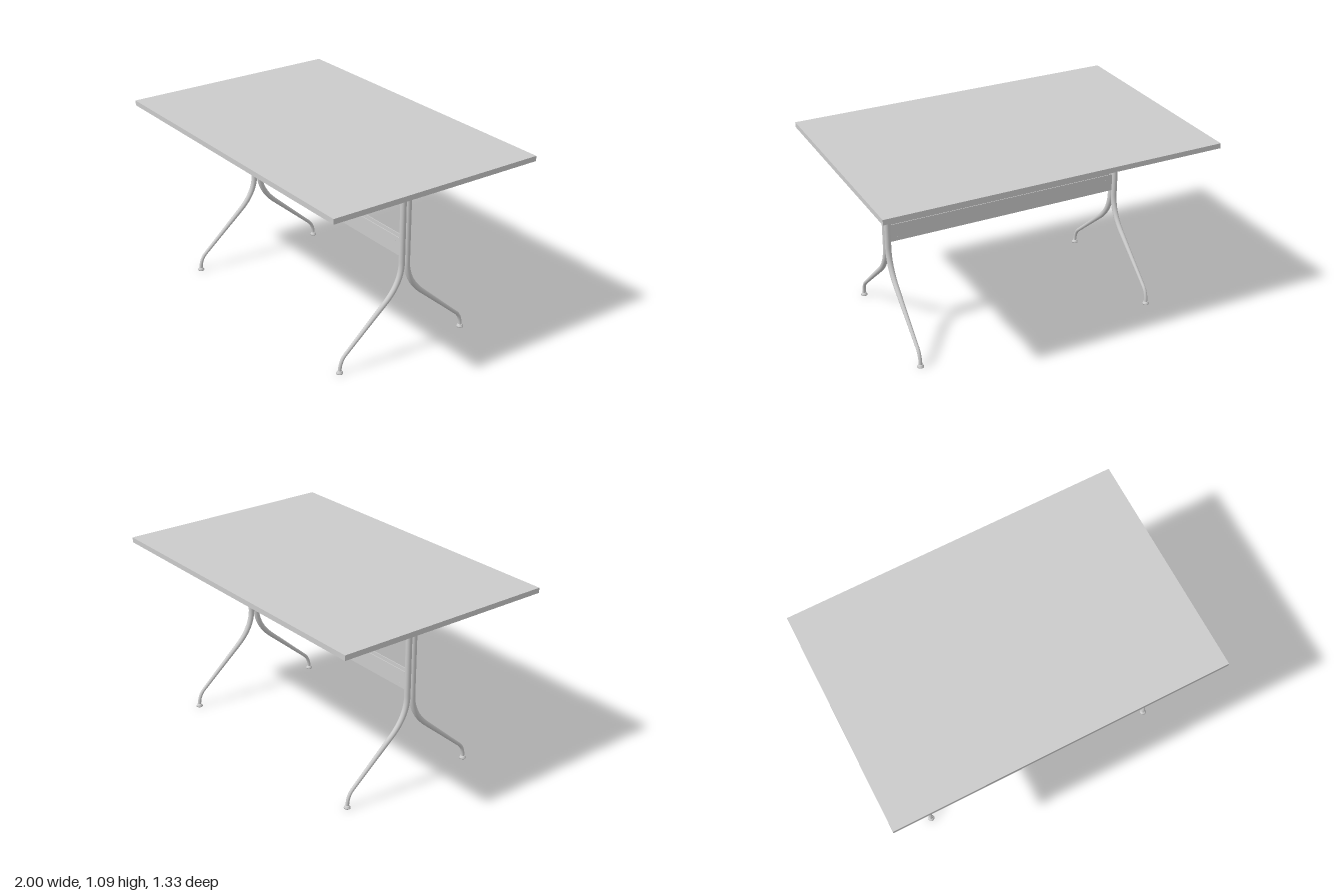
import * as THREE from 'three';

const material = new THREE.MeshStandardMaterial({ color: 0xcccccc });

function add(parent, geometry, name, x = 0, y = 0, z = 0) {
  const mesh = new THREE.Mesh(geometry, material);
  mesh.name = name;
  mesh.position.set(x, y, z);
  parent.add(mesh);
  return mesh;
}

// Splayed leg centreline: straight post, sweep outwards, slanted run, short vertical ankle
function legPath() {
  const p = (z, y) => new THREE.Vector3(0, y, z);
  const path = new THREE.CurvePath();
  path.add(new THREE.LineCurve3(p(0.0175, 1.062), p(0.0175, 0.55)));
  path.add(new THREE.QuadraticBezierCurve3(p(0.0175, 0.55), p(0.0175, 0.429), p(0.125, 0.335)));
  path.add(new THREE.LineCurve3(p(0.125, 0.335), p(0.39, 0.105)));
  path.add(new THREE.QuadraticBezierCurve3(p(0.39, 0.105), p(0.427, 0.073), p(0.428, 0.012)));
  return path;
}

// Tube whose radius shrinks along the splayed part
function taperedTube(path, segments, sides, radiusAt) {
  const geometry = new THREE.TubeGeometry(path, segments, 1, sides, false);
  const pos = geometry.attributes.position;
  const v = new THREE.Vector3();
  for (let i = 0; i <= segments; i++) {
    const centre = path.getPointAt(i / segments);
    const r = radiusAt(i / segments);
    for (let j = 0; j <= sides; j++) {
      const k = i * (sides + 1) + j;
      v.fromBufferAttribute(pos, k).sub(centre).multiplyScalar(r).add(centre);
      pos.setXYZ(k, v.x, v.y, v.z);
    }
  }
  return geometry;
}

export function createModel() {
  const model = new THREE.Group();
  model.name = 'table';

  // Table top
  add(model, new THREE.BoxGeometry(2, 0.03, 1.334), 'tableTop', 0, 1.079, 0);

  // Legs: a back-to-back pair at each end
  const tube = taperedTube(legPath(), 96, 24, (u) => 0.0175 - 0.0075 * THREE.MathUtils.smoothstep(u, 0.36, 1));
  const cap = new THREE.CircleGeometry(0.0175, 24).rotateX(-Math.PI / 2);
  const footProfile = [[0, 0], [0.019, 0], [0.019, 0.006], [0.013, 0.010], [0.013, 0.017], [0, 0.017]]
    .map(([r, y]) => new THREE.Vector2(r, y));
  const foot = new THREE.LatheGeometry(footProfile, 24);
  for (const x of [-0.732, 0.732]) {
    for (const turn of [0, Math.PI]) {
      const leg = new THREE.Group();
      leg.name = 'leg';
      leg.position.x = x;
      leg.rotation.y = turn;
      add(leg, tube, 'legTube');
      add(leg, cap, 'legCap', 0, 1.062, 0.0175);
      add(leg, foot, 'foot', 0, 0, 0.428);
      model.add(leg);
    }
  }

  // Stretcher: a channel, open at the top, between the leg pairs
  const w = 0.018, t = 0.004, h = 0.105;
  const section = new THREE.Shape([
    [-w, 0], [w, 0], [w, h], [w - t, h], [w - t, t], [-w + t, t], [-w + t, h], [-w, h],
  ].map(([a, b]) => new THREE.Vector2(a, b)));
  const channel = new THREE.ExtrudeGeometry(section, { depth: 1.44, bevelEnabled: false });
  channel.translate(0, 0, -0.72).rotateY(Math.PI / 2);
  add(model, channel, 'stretcher', 0, 0.58, 0);

  // Small fasteners near the stretcher ends
  const screw = new THREE.CylinderGeometry(0.003, 0.003, 0.002, 12).rotateX(Math.PI / 2);
  for (const x of [-0.67, 0.67])
    for (const y of [0.605, 0.655])
      for (const z of [-w, w]) add(model, screw, 'screw', x, y, z);

  return model;
}
